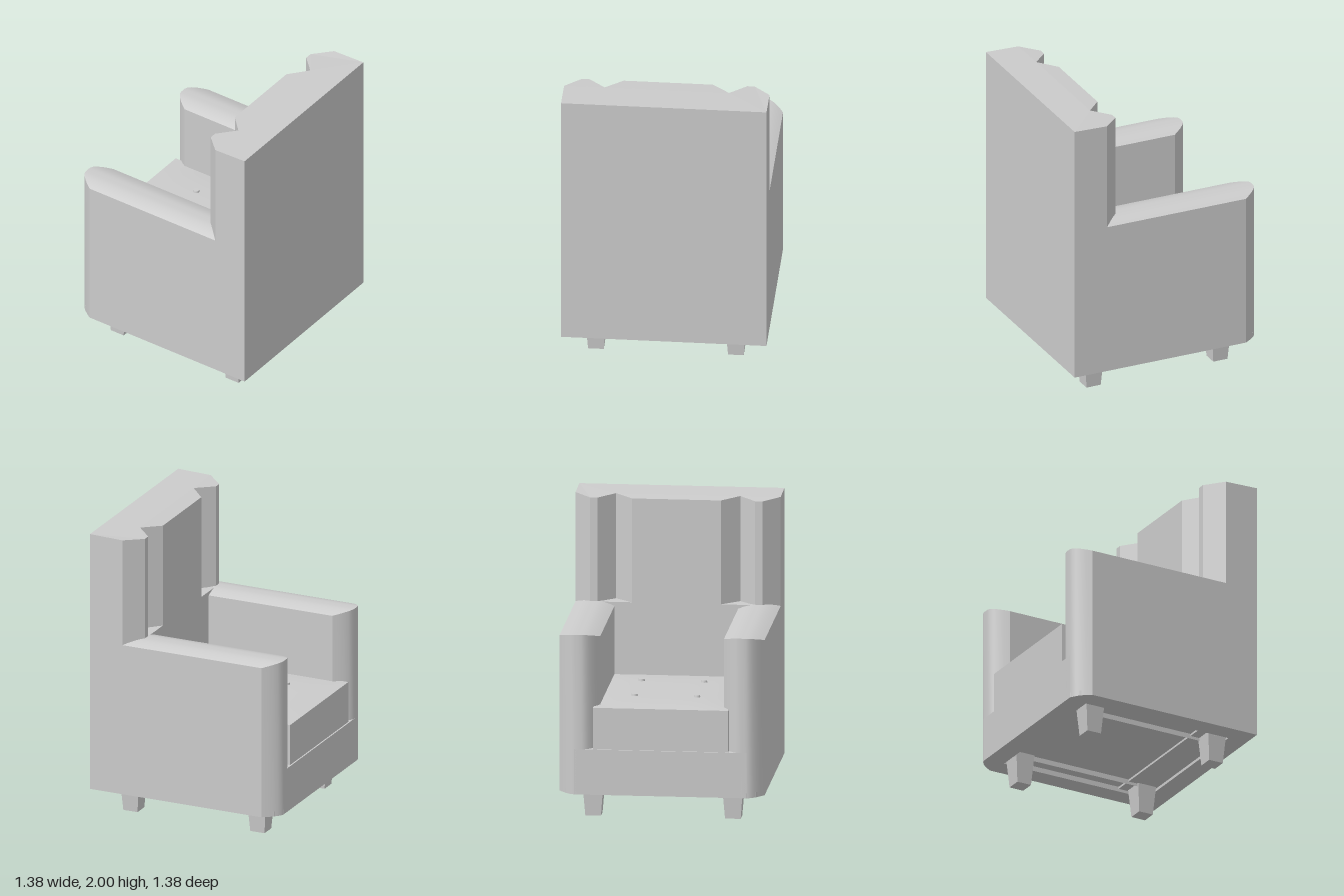
import * as THREE from 'three';
import { toCreasedNormals } from 'three/addons/utils/BufferGeometryUtils.js';

const material = new THREE.MeshStandardMaterial({ color: 0xcccccc, side: THREE.DoubleSide });

function part(parent, name, geometry, x = 0, y = 0, z = 0) {
  const mesh = new THREE.Mesh(geometry, material);
  mesh.name = name;
  mesh.position.set(x, y, z);
  parent.add(mesh);
  return mesh;
}

// Half outline in (x, z) from the rear corner to the middle, mirrored in z
function plan(half) {
  const all = [...half, ...half.slice().reverse().map(([x, z]) => [x, -z])];
  return new THREE.Shape(all.map(([x, z]) => new THREE.Vector2(x, -z)));
}

// Raise a plan outline from y0 to y1
function raise(shape, y0, y1) {
  const g = new THREE.ExtrudeGeometry(shape, { depth: y1 - y0, bevelEnabled: false });
  return g.rotateX(-Math.PI / 2).translate(0, y0, 0);
}

// Arm: slices across z, each with its own front edge and crown height
function armGeometry() {
  const slices = [];
  const n = 12, half = 0.137;
  for (let i = 0; i <= n; i++) {
    const t = -1 + (2 * i) / n;
    const c = Math.max(0, Math.abs(t) - 0.2) / 0.8;
    const bow = 1 - Math.pow(c, 1.6);
    slices.push({ z: t * half, front: -0.58 - 0.11 * bow, top: 1.245 + 0.03 * bow });
  }
  const pos = [], index = [];
  for (const { z, front, top } of slices)
    pos.push(front, 0.18, z, front, top, z, 0.45, top, z, 0.45, 0.18, z);
  for (let i = 0; i < n; i++)
    for (let k = 0; k < 4; k++) {
      const a = i * 4 + k, b = i * 4 + ((k + 1) % 4);
      // the underside is left to the bottom frame
      if (k < 3) index.push(a, a + 4, b, b, a + 4, b + 4);
    }
  const e = n * 4;
  index.push(0, 1, 2, 0, 2, 3, e, e + 2, e + 1, e, e + 3, e + 2);
  const g = new THREE.BufferGeometry();
  g.setAttribute('position', new THREE.Float32BufferAttribute(pos, 3));
  g.setIndex(index);
  return toCreasedNormals(g, 0.5);
}

export function createModel() {
  const chair = new THREE.Group();
  chair.name = 'armchair';

  // Bottom frame around a shallow recess
  const frame = plan([[0.69, 0.69], [-0.58, 0.69], [-0.65, 0.64], [-0.69, 0.58]]);
  const r = 0.55;
  frame.holes.push(new THREE.Path([[-r, -r], [-r, r], [r, r], [r, -r]].map(p => new THREE.Vector2(...p))));
  part(chair, 'bottomFrame', raise(frame, 0.18, 0.215));

  // Base block under the seat
  part(chair, 'seatBase', new THREE.BoxGeometry(1.3, 0.275, 1.16), -0.04, 0.3525, 0);

  // Arms
  for (const s of [1, -1]) part(chair, s > 0 ? 'leftArm' : 'rightArm', armGeometry(), 0, 0, s * 0.553);

  // Backrest: plain below the arm tops, with two upright grooves above
  const corner = [[0.69, 0.69], [0.45, 0.69], [0.335, 0.58]];
  part(chair, 'lowerBack', raise(plan(corner), 0.2, 1.272));
  const upper = raise(plan([...corner, [0.335, 0.53], [0.447, 0.418], [0.335, 0.3]]), 1.27, 2);
  const p = upper.attributes.position;
  for (let i = 0; i < p.count; i++)
    if (p.getY(i) > 1.9 && p.getX(i) < 0.5) p.setY(i, p.getX(i) < 0.4 ? 1.985 : 1.993);
  upper.computeVertexNormals();
  part(chair, 'upperBack', upper);

  // Seat cushion with a slight crown
  const cushion = new THREE.BoxGeometry(1.04, 0.3, 0.91, 10, 1, 10);
  const q = cushion.attributes.position;
  for (let i = 0; i < q.count; i++)
    if (q.getY(i) > 0) {
      const u = q.getX(i) / 0.52, v = q.getZ(i) / 0.455;
      q.setY(i, 0.135 + 0.015 * (1 - u ** 4) * (1 - v ** 4));
    }
  part(chair, 'seatCushion', toCreasedNormals(cushion, 0.5), -0.16, 0.64, 0);

  // Buttons on the cushion
  for (const x of [-0.34, 0.11])
    for (const z of [-0.21, 0.21])
      part(chair, 'button', new THREE.CylinderGeometry(0.02, 0.025, 0.03, 20), x, 0.787, z);

  // Tapered square legs
  for (const x of [-0.47, 0.47])
    for (const z of [-0.47, 0.47]) {
      const leg = new THREE.CylinderGeometry(0.07 * Math.SQRT2, 0.0525 * Math.SQRT2, 0.22, 4, 1).rotateY(Math.PI / 4);
      part(chair, 'leg', toCreasedNormals(leg, 0.5), x, 0.11, z);
    }
  return chair;
}
